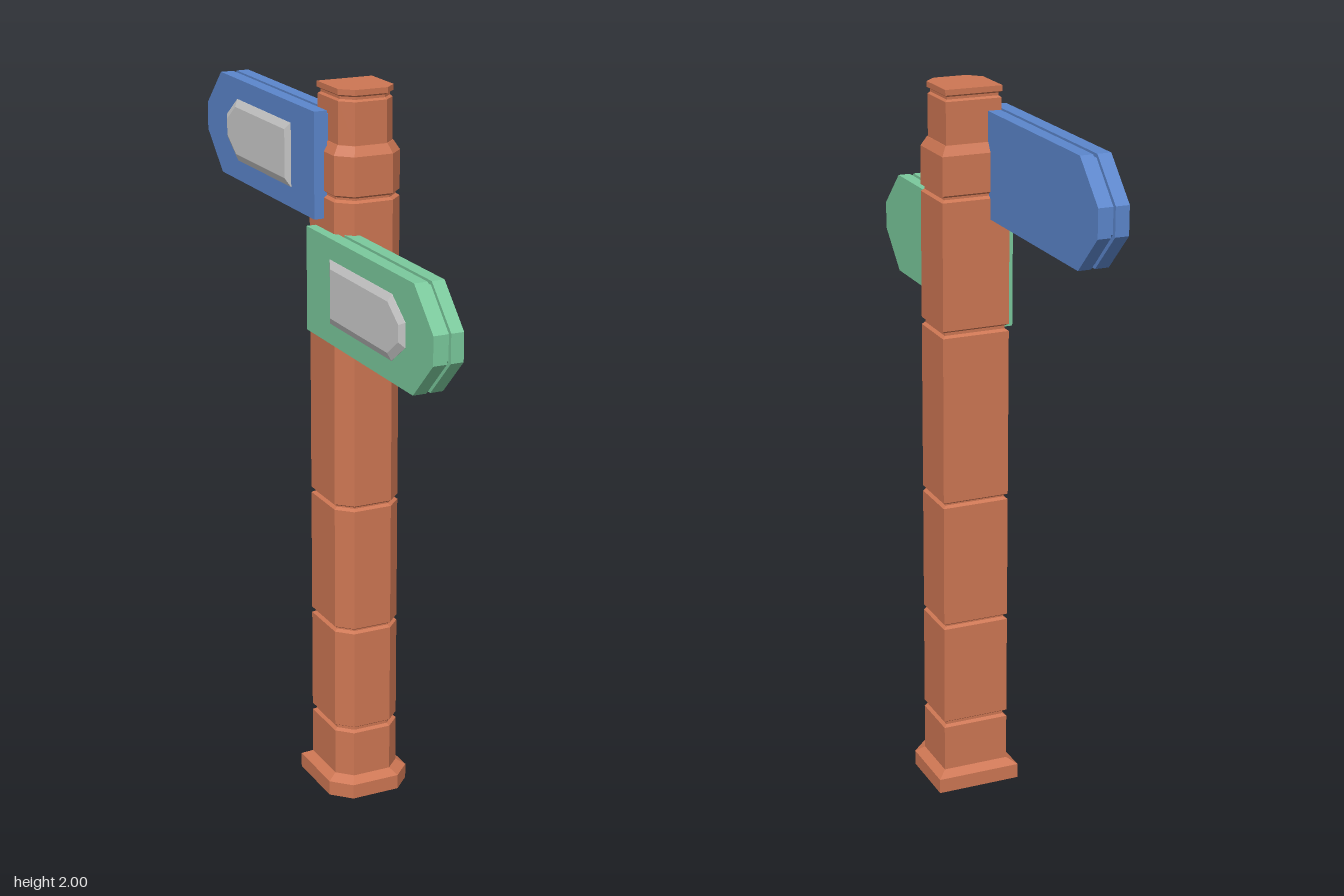
import * as THREE from 'three';

const mat = (color) => new THREE.MeshStandardMaterial({ color, flatShading: true });
const terracotta = mat(0xcd7653);
const blue = mat(0x5b86cc);
const green = mat(0x7ac99c);
const grey = mat(0xcccccc);

// Square section with its two front corners cut off
function section(w, y) {
  const c = w * 0.42;
  return [[-w, -w], [w, -w], [w, w - c], [w - c, w], [c - w, w], [-w, w - c]]
    .map(([x, z]) => [x + 0.005, y, z + 0.03]);
}

// Solid through a list of [half width, height] levels
function loft(levels) {
  const rings = levels.map(([w, y]) => section(w, y));
  const pos = [];
  const tri = (...corners) => corners.forEach((p) => pos.push(...p));
  for (let k = 0; k + 1 < rings.length; k++) {
    const a = rings[k], b = rings[k + 1];
    for (let i = 0; i < 6; i++) {
      const j = (i + 1) % 6;
      tri(a[i], b[i], b[j]);
      tri(a[i], b[j], a[j]);
    }
  }
  const bottom = rings[0], top = rings[rings.length - 1];
  for (let i = 1; i < 5; i++) {
    tri(bottom[0], bottom[i], bottom[i + 1]);
    tri(top[0], top[i + 1], top[i]);
  }
  const geo = new THREE.BufferGeometry();
  geo.setAttribute('position', new THREE.Float32BufferAttribute(pos, 3));
  geo.computeVertexNormals();
  return geo;
}

// Arrow outline in the side plane; dir = +1 points to the front, -1 to the back
function arrow(dir, start, shoulder, tip, half, tipHalf) {
  return new THREE.Shape([
    [start, -half], [shoulder, -half], [tip, -tipHalf],
    [tip, tipHalf], [shoulder, half], [start, half],
  ].map(([s, y]) => new THREE.Vector2(s * dir, y)));
}

// Extrude an outline sideways, from x = inner towards -x
function slab(shape, inner, depth, bevel = {}) {
  const geo = new THREE.ExtrudeGeometry(shape, { depth, bevelEnabled: false, ...bevel });
  return geo.rotateY(-Math.PI / 2).translate(inner, 0, 0);
}

function add(parent, name, geometry, material) {
  const mesh = new THREE.Mesh(geometry, material);
  mesh.name = name;
  parent.add(mesh);
}

function createSign(name, dir, y, material) {
  const sign = new THREE.Group();
  sign.name = name;
  const board = arrow(dir, -0.025, 0.592, 0.695, 0.142, 0.038);
  const core = arrow(dir, -0.015, 0.588, 0.683, 0.132, 0.034);
  add(sign, 'innerBoard', slab(board, -0.035, 0.035), material);
  add(sign, 'boardCore', slab(core, -0.065, 0.025), material);
  add(sign, 'outerBoard', slab(board, -0.081, 0.037), material);
  // Raised plate with sloping edges
  const plate = arrow(dir, 0.14, 0.47, 0.53, 0.066, 0.022);
  add(sign, 'signPlate', slab(plate, -0.118, 0.001, {
    bevelEnabled: true, bevelSegments: 1, bevelSize: 0.02, bevelThickness: 0.009,
  }), grey);
  sign.position.y = y;
  return sign;
}

export function createModel() {
  const model = new THREE.Group();
  model.name = 'signpost';

  // Foot
  add(model, 'base', loft([[0.12, 0], [0.12, 0.042], [0.095, 0.058]]), terracotta);

  // Stacked blocks separated by narrow grooves
  const levels = [[0.095, 0.05]];
  for (const [low, high] of [[0.19, 0.21], [0.494, 0.51], [0.856, 0.872], [1.34, 1.36], [1.708, 1.726]]) {
    levels.push([0.095, low], [0.086, low + 0.006], [0.086, high - 0.006], [0.095, high]);
  }
  levels.push([0.095, 1.83], [0.08, 1.855]);
  add(model, 'post', loft(levels), terracotta);

  // Narrower head and its top slab
  add(model, 'head', loft([
    [0.078, 1.85], [0.078, 1.968], [0.072, 1.973], [0.072, 1.98], [0.08, 1.985], [0.08, 2],
  ]), terracotta);

  // Two arrow signs pointing opposite ways
  model.add(createSign('backSign', -1, 1.794, blue));
  model.add(createSign('frontSign', 1, 1.482, green));
  return model;
}
